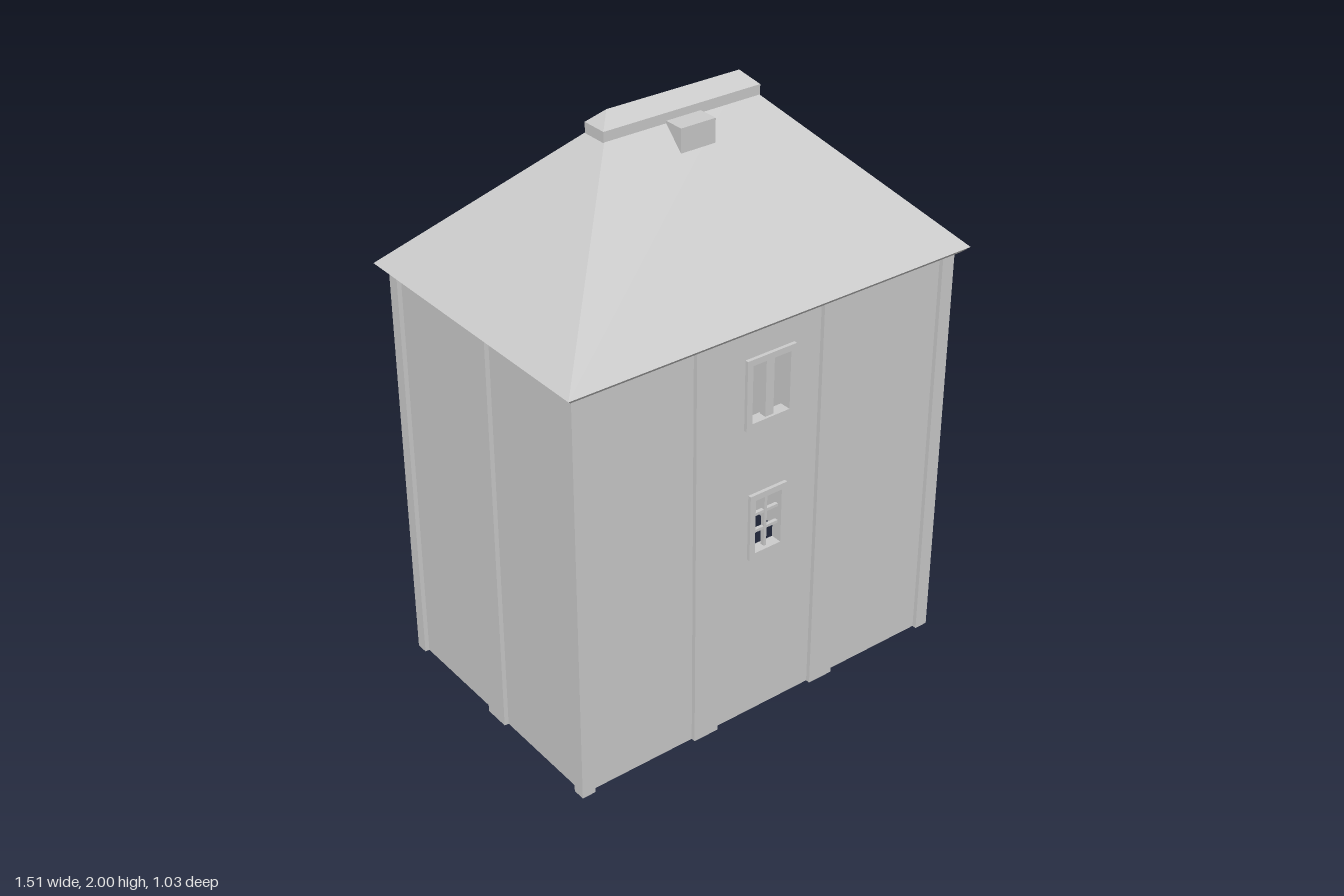
import * as THREE from 'three';

export function createModel() {
  const model = new THREE.Group();
  const grey = new THREE.MeshStandardMaterial({ color: 0xcccccc });
  grey.name = 'plain grey';

  const add = (parent, name, geometry) => {
    const mesh = new THREE.Mesh(geometry, grey);
    mesh.name = name;
    parent.add(mesh);
    return mesh;
  };
  // Box given by its limits on each axis
  const box = (parent, name, x0, x1, y0, y1, z0, z1) =>
    add(parent, name, new THREE.BoxGeometry(x1 - x0, y1 - y0, z1 - z0)
      .translate((x0 + x1) / 2, (y0 + y1) / 2, (z0 + z1) / 2));
  const rect = (Type, x0, x1, y0, y1) => new Type([[x0, y0], [x1, y0], [x1, y1], [x0, y1]]
    .map(([x, y]) => new THREE.Vector2(x, y)));
  const extrude = (shape, z0, z1) => new THREE.ExtrudeGeometry(shape,
    { depth: z1 - z0, bevelEnabled: false, curveSegments: 16 }).translate(0, 0, z0);

  // Flat-sided skin over rectangular loops [half x, half z, y]
  const hipSkin = (loops) => {
    const corner = ([hx, hz, y], i) => {
      const [sx, sz] = [[-1, 1], [1, 1], [1, -1], [-1, -1]][i % 4];
      return [sx * hx, y, sz * hz];
    };
    const pos = [];
    for (let k = 0; k < loops.length - 1; k++) {
      for (let i = 0; i < 4; i++) {
        const a = corner(loops[k], i), b = corner(loops[k], i + 1);
        const c = corner(loops[k + 1], i + 1), d = corner(loops[k + 1], i);
        pos.push(...a, ...b, ...c, ...a, ...c, ...d);
      }
    }
    const g = new THREE.BufferGeometry();
    g.setAttribute('position', new THREE.Float32BufferAttribute(pos, 3));
    g.computeVertexNormals();
    return g;
  };

  const TOP = 1.46;
  const upper = [-0.075, 0.07, 1.108, 1.308];
  const lower = [-0.053, 0.05, 0.63, 0.825];

  // Surround with an opening
  const surround = (parent, name, [x0, x1, y0, y1], t) => {
    const shape = rect(THREE.Shape, x0 - t, x1 + t, y0 - t, y1 + t);
    shape.holes.push(rect(THREE.Path, x0, x1, y0, y1));
    add(parent, name, extrude(shape, 0.437, 0.477));
  };

  // Long wall with pilasters and the upper window, facing +z
  const longWall = (name, openings) => {
    const g = new THREE.Group();
    g.name = name;
    const shape = rect(THREE.Shape, -0.69, 0.69, 0, TOP);
    openings.forEach((o) => shape.holes.push(rect(THREE.Path, ...o)));
    add(g, 'wallPanel', extrude(shape, 0.446, 0.465));
    for (const s of [-1, 1]) {
      box(g, 'pilaster', s * 0.241 - 0.047, s * 0.241 + 0.047, 0, TOP, 0.437, 0.48);
    }
    surround(g, 'upperWindowFrame', upper, 0.021);
    box(g, 'upperWindowMullion', -0.017, 0.014, upper[2], upper[3], 0.442, 0.468);
    model.add(g);
    return g;
  };

  const front = longWall('frontWall', [upper, lower]);
  surround(front, 'lowerWindowFrame', lower, 0.021);
  box(front, 'lowerWindowMullion', -0.006, 0.004, lower[2], lower[3], 0.447, 0.463);
  for (const y of [0.698, 0.76]) {
    box(front, 'lowerWindowBar', lower[0], lower[1], y - 0.005, y + 0.005, 0.449, 0.461);
  }

  const back = longWall('backWall', [upper]);
  back.rotation.y = Math.PI;

  // Raised blind arch on the back
  const ro = 0.145, ri = 0.1, foot = 0.48, spring = 0.76;
  const arch = new THREE.Shape();
  arch.moveTo(ro, foot);
  arch.lineTo(ro, spring);
  arch.absarc(0, spring, ro, 0, Math.PI, false);
  arch.lineTo(-ro, foot);
  arch.lineTo(-ri, foot);
  arch.lineTo(-ri, spring);
  arch.absarc(0, spring, ri, Math.PI, 0, true);
  arch.lineTo(ri, foot);
  arch.closePath();
  add(back, 'archMoulding', extrude(arch, 0.455, 0.479));

  // Side walls, their middle pilasters and the corner posts
  for (const s of [-1, 1]) {
    const span = (a, b) => (s > 0 ? [a, b] : [-b, -a]);
    box(model, 'sideWall', ...span(0.691, 0.71), 0, TOP, -0.45, 0.45);
    box(model, 'sidePilaster', ...span(0.682, 0.725), 0, TOP, -0.046, 0.046);
    for (const [z0, z1] of [[-0.48, -0.437], [0.437, 0.48]]) {
      box(model, 'cornerPost', ...span(0.677, 0.725), 0, TOP, z0, z1);
    }
  }

  // Hollow hipped roof with a square-cut eave
  add(model, 'roof', hipSkin([
    [0.242, 0, 1.93], [0.737, 0.495, 1.435], [0.757, 0.515, 1.455], [0.242, 0, 1.97],
  ]));
  // Ridge cap with small hips
  add(model, 'ridgeCap', hipSkin([
    [0.29, 0.046, 1.92], [0.29, 0.046, 1.957], [0.245, 0, 2.0],
  ]));
  // Small roof hatch on the front slope
  box(model, 'roofHatch', -0.065, 0.063, 1.848, 1.932, 0.03, 0.117);

  return model;
}
